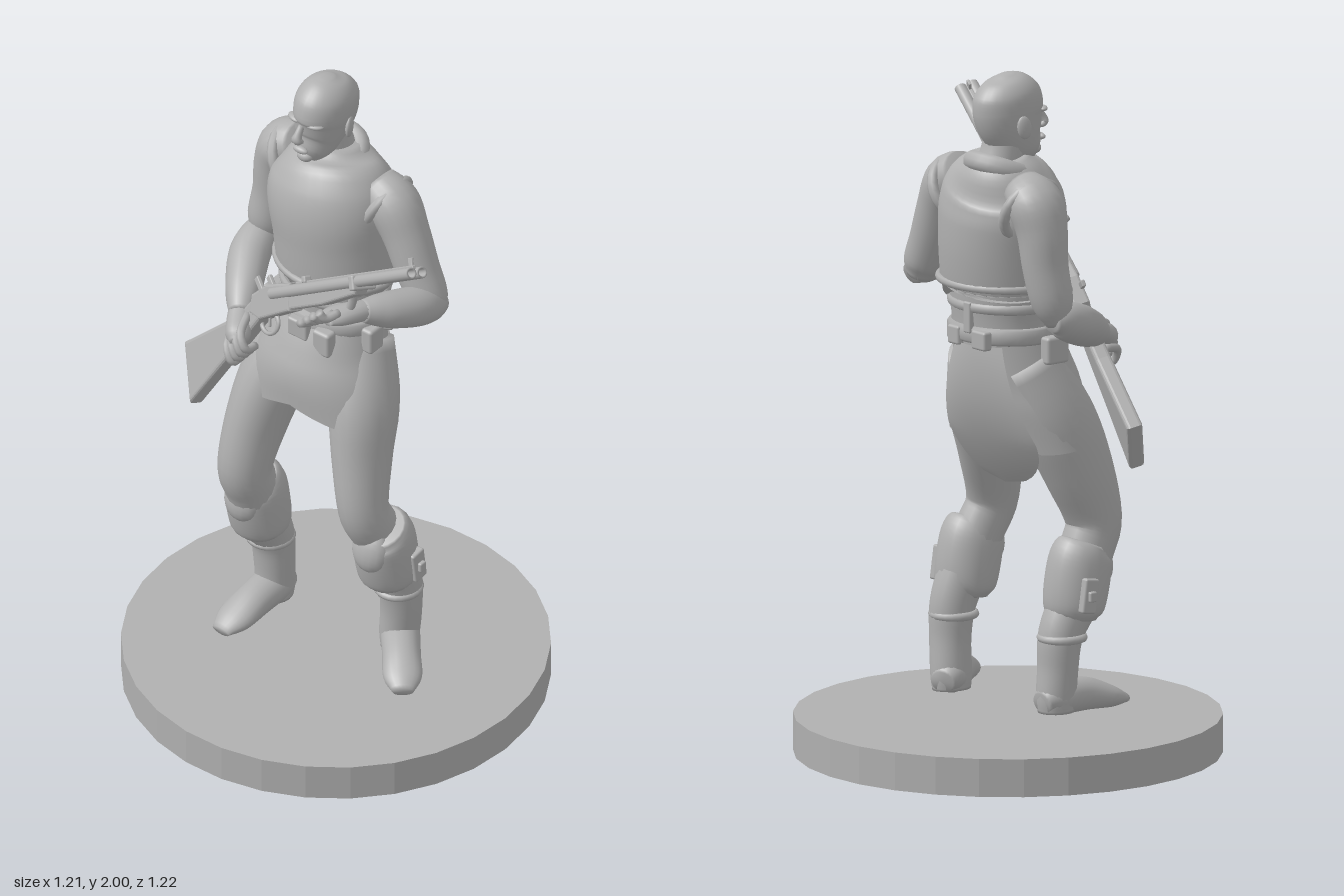
import * as THREE from 'three';
import { RoundedBoxGeometry } from 'three/addons/geometries/RoundedBoxGeometry.js';

const grey = new THREE.MeshStandardMaterial({ color: 0xb0b0b0, side: THREE.DoubleSide });
grey.name = 'grey';

const X = new THREE.Vector3(1, 0, 0), Y = new THREE.Vector3(0, 1, 0);

// Smooth loft through rings [x, y, z, radius along ref, other radius]
function loft(rings, { ref = X, sides = 20, steps = 5, caps = true } = {}) {
  const path = new THREE.CatmullRomCurve3(rings.map(r => new THREE.Vector3(r[0], r[1], r[2])), false, 'catmullrom');
  const size = new THREE.CatmullRomCurve3(rings.map(r => new THREE.Vector3(r[3], r[4] ?? r[3], 0)), false, 'catmullrom');
  const n = (rings.length - 1) * steps, pos = [], idx = [];
  for (let i = 0; i <= n; i++) {
    const c = path.getPoint(i / n), s = size.getPoint(i / n), t = path.getTangent(i / n);
    const u = ref.clone().addScaledVector(t, -ref.dot(t)).normalize();
    const v = t.clone().cross(u);
    for (let j = 0; j < sides; j++) {
      const a = j / sides * Math.PI * 2;
      pos.push(...c.clone().addScaledVector(u, Math.cos(a) * s.x).addScaledVector(v, Math.sin(a) * s.y).toArray());
      if (i === n) continue;
      const p = i * sides + j, q = i * sides + (j + 1) % sides;
      idx.push(p, q, p + sides, q, q + sides, p + sides);
    }
  }
  if (caps) {
    const k = pos.length / 3;
    pos.push(...path.getPoint(0).toArray(), ...path.getPoint(1).toArray());
    for (let j = 0; j < sides; j++) {
      const m = (j + 1) % sides;
      idx.push(k, m, j, k + 1, n * sides + j, n * sides + m);
    }
  }
  const g = new THREE.BufferGeometry();
  g.setAttribute('position', new THREE.Float32BufferAttribute(pos, 3));
  g.setIndex(idx);
  g.computeVertexNormals();
  return g;
}

// Move every vertex by a rule
function warp(g, rule) {
  const p = g.attributes.position, v = new THREE.Vector3();
  for (let i = 0; i < p.count; i++) {
    rule(v.fromBufferAttribute(p, i));
    p.setXYZ(i, v.x, v.y, v.z);
  }
  g.computeVertexNormals();
  return g;
}

function add(parent, name, geo, at = [0, 0, 0], rot = [0, 0, 0]) {
  const m = new THREE.Mesh(geo, grey);
  m.name = name;
  m.position.set(...at);
  m.rotation.set(...rot);
  parent.add(m);
  return m;
}

const box = (w, h, d) => new RoundedBoxGeometry(w, h, d, 2, Math.min(w, h, d) * 0.25);
const ball = (rx, ry, rz) => new THREE.SphereGeometry(1, 16, 12).scale(rx, ry, rz);

function buildHead(g) {
  add(g, 'head', loft([[.025, 1.75, -.112, .03, .028], [.04, 1.775, -.112, .062, .05], [.065, 1.81, -.112, .085, .065],
    [.085, 1.86, -.11, .106, .076], [.092, 1.9, -.108, .113, .081], [.094, 1.945, -.108, .104, .077],
    [.097, 1.98, -.108, .07, .054], [.1, 1.999, -.108, .02, .016]], { sides: 28 }));
  add(g, 'nose', loft([[-.012, 1.885, -.114, .01, .009], [-.027, 1.86, -.115, .013, .012], [-.033, 1.843, -.116, .013, .017],
    [-.018, 1.833, -.116, .008, .014]], { sides: 10 }));
  add(g, 'lips', ball(.012, .011, .026), [-.018, 1.803, -.114]);
  add(g, 'chin', ball(.02, .018, .026), [.002, 1.772, -.113]);
  for (const s of [-1, 1]) {
    add(g, 'brow', ball(.016, .009, .027), [.001, 1.892, -.113 + s * .036], [0, s * .4, 0]);
    add(g, 'ear', ball(.022, .034, .01), [.1, 1.855, -.11 + s * .08], [0, s * .3, -.15]);
  }
  add(g, 'neck', loft([[.15, 1.62, -.1, .085], [.13, 1.7, -.1, .07], [.11, 1.77, -.105, .064], [.1, 1.83, -.108, .06]]));
}

function buildTorso(g) {
  add(g, 'abdomen', loft([[.06, 1.18, -.055, .135, .16], [.068, 1.27, -.055, .132, .155], [.07, 1.34, -.055, .138, .162],
    [.075, 1.44, -.06, .14, .165]], { sides: 28 }));
  add(g, 'vest', loft([[.08, 1.385, -.06, .15, .17], [.08, 1.392, -.06, .161, .18], [.085, 1.5, -.068, .17, .188],
    [.086, 1.6, -.078, .17, .198], [.098, 1.67, -.088, .153, .185], [.115, 1.725, -.1, .115, .135],
    [.122, 1.765, -.103, .075, .078]], { sides: 32 }));
  add(g, 'collar', new THREE.TorusGeometry(.088, .024, 10, 28).scale(1.05, 1, 1.2), [.108, 1.722, -.103], [Math.PI / 2, .38, 0]);
  const band = (name, y, r, h, x = .068) => add(g, name,
    new THREE.TorusGeometry(1, .06, 8, 36).rotateX(Math.PI / 2).scale(r, h / .12, r * 1.17), [x, y, -.055]);
  band('vestHem', 1.395, .16, .025, .079);
  band('waistStrap', 1.33, .138, .03);
  band('belt', 1.25, .14, .05, .063);
  // Belt buckles and pouches
  for (const [x, y, z, w, h, d, r] of [[.205, 1.3, -.07, .02, .09, .03, 0], [.2, 1.24, -.12, .03, .055, .06, 0],
    [.2, 1.24, -.01, .03, .055, .05, 0], [.02, 1.22, .115, .06, .08, .04, 0], [.11, 1.23, .1, .05, .06, .04, .5],
    [-.08, 1.22, .02, .04, .08, .06, 0], [-.09, 1.24, -.06, .03, .06, .07, 0], [.03, 1.21, -.24, .08, .08, .04, 0]])
    add(g, 'pouch', box(w, h, d), [x, y, z], [0, r, 0]);
  // Skirt with a hem that hangs lower at the sides
  const skirt = loft([[.065, 1.25, -.055, .135, .157], [.035, 1.14, -.057, .16, .185], [.015, 1.05, -.055, .166, .222],
    [.0, .93, -.05, .15, .25]], { sides: 40, caps: false });
  add(g, 'skirt', warp(skirt, v => {
    const side = Math.min(1, Math.abs(v.z + .055) / .2);
    if (v.y < 1.15) v.y = 1.15 - (1.15 - v.y) * (.72 + .28 * side);
  }));
  // Long rounded flap behind
  add(g, 'backFlap', warp(new THREE.PlaneGeometry(2, 1, 16, 24), p => {
    const u = p.x, v = .5 - p.y;
    const round = v > .65 ? Math.sqrt(Math.max(0, 1 - ((v - .65) / .35) ** 2)) : 1;
    const w = (.1 + .09 * Math.min(v, .65) / .65) * round;
    p.set(.207 + .015 * Math.sin(Math.PI * v) - .145 * v * v - .045 * (u * round) ** 2, 1.22 - .42 * v, -.065 - u * w);
  }));
}

function buildLeg(g, side, leg, guard, foot) {
  const out = side === 'left' ? 1 : -1;
  add(g, side + 'Leg', loft(leg));
  const [x, y, z] = guard;
  add(g, side + 'KneeGuard', loft([[x - .03, y + .11, z, .07], [x - .015, y + .075, z, .092, .086], [x, y, z, .096, .09],
    [x + .012, y - .07, z, .088, .086], [x + .015, y - .1, z, .068, .066]]));
  add(g, side + 'KneeCap', ball(.04, .07, .06), [x - .07, y + .05, z], [0, 0, -.2]);
  add(g, side + 'GuardStrap', box(.05, .1, .025), [x + .03, y - .02, z + out * .088], [0, 0, .15]);
  add(g, side + 'Buckle', box(.025, .03, .02), [x + .03, y - .02, z + out * .102]);
  add(g, side + 'BootCuff', new THREE.TorusGeometry(.061, .012, 8, 24).rotateX(Math.PI / 2), [x + .055, y - .15, z]);
  add(g, side + 'Foot', warp(loft(foot, { ref: Y }), v => { v.y = Math.max(v.y, .148); }));
}

function buildArm(g, side, upper, fore, hand, fingers) {
  add(g, side + 'UpperArm', loft(upper));
  add(g, side + 'Forearm', loft(fore, { ref: Y }));
  add(g, side + 'Hand', loft(hand, { ref: Y, sides: 14 }));
  for (const f of fingers) add(g, side + 'Finger', loft(f.map(p => [...p, .0125]), { ref: new THREE.Vector3(.3, .5, .81), sides: 8, steps: 4 }));
}

// Long gun in its own frame: +z to the muzzle, +y up
function buildGun(g) {
  const gun = new THREE.Group();
  gun.name = 'gun';
  const d = new THREE.Vector3(-.18, .575, .8).normalize();
  const u = new THREE.Vector3(.42, .78, -.46);
  u.addScaledVector(d, -u.dot(d)).normalize();
  gun.matrixAutoUpdate = true;
  gun.quaternion.setFromRotationMatrix(new THREE.Matrix4().makeBasis(u.clone().cross(d), u, d));
  gun.position.set(-.272, 1.805, .505);
  const slab = (name, pts, w, bevel) => {
    const shape = new THREE.Shape(pts.map(p => new THREE.Vector2(...p)));
    const geo = new THREE.ExtrudeGeometry(shape, { depth: w, bevelSize: bevel, bevelThickness: bevel, bevelSegments: 3 });
    add(gun, name, geo.translate(0, 0, -w / 2).rotateY(-Math.PI / 2));
  };
  for (const s of [-1, 1]) {
    const tube = [[.011, -.76], [.018, -.76], [.017, 0], [.011, 0], [.011, -.06], [0, -.06]].map(p => new THREE.Vector2(...p));
    add(gun, 'barrel', new THREE.LatheGeometry(tube, 16).rotateX(Math.PI / 2), [s * .018, 0, 0]);
    add(gun, 'hammer', box(.012, .05, .02), [s * .02, .03, -.82], [-.5, 0, 0]);
  }
  add(gun, 'rib', box(.012, .012, .74), [0, .017, -.38]);
  add(gun, 'frontSight', box(.008, .03, .02), [0, .03, -.025]);
  add(gun, 'rearSight', box(.025, .02, .02), [0, .027, -.6]);
  add(gun, 'barrelBand', box(.08, .045, .025), [0, -.004, -.3]);
  slab('foreGrip', [[-.3, -.012], [-.32, -.03], [-.5, -.045], [-.68, -.045], [-.68, -.005]], .03, .008);
  slab('receiver', [[-.66, .015], [-.68, -.05], [-.84, -.06], [-.88, -.04], [-.86, .0], [-.78, .02]], .036, .008);
  slab('stock', [[-.84, -.002], [-.93, -.045], [-1.02, -.068], [-1.25, -.108], [-1.257, -.262], [-1.1, -.182],
    [-.98, -.125], [-.9, -.085], [-.84, -.055]], .026, .011);
  add(gun, 'triggerGuard', new THREE.TorusGeometry(.032, .006, 8, 20).rotateY(Math.PI / 2).scale(1, 1, 1.4), [0, -.08, -.82]);
  add(gun, 'trigger', box(.008, .035, .008), [0, -.075, -.82], [.3, 0, 0]);
  g.add(gun);
}

export function createModel() {
  const g = new THREE.Group();
  g.name = 'figurine';
  // Faceted round base
  const base = new THREE.CylinderGeometry(.61, .61, .11, 30).toNonIndexed();
  base.computeVertexNormals();
  add(g, 'base', base, [0, .055, 0]);

  buildHead(g);
  buildTorso(g);

  buildLeg(g, 'left', [[.06, 1.16, .04, .1, .095], [0, 1, .1, .115, .095], [-.045, .85, .13, .1, .08], [-.08, .7, .162, .08, .068],
    [-.045, .61, .175, .076, .068], [0, .5, .19, .075, .07], [.035, .4, .2, .068, .065], [.045, .3, .2, .06, .06],
    [.05, .2, .19, .062, .056], [.05, .155, .188, .058, .05]], [-.02, .52, .197],
  [[.105, .185, .165, .03, .035], [.06, .195, .185, .052, .055], [-.03, .19, .26, .05, .055], [-.095, .175, .315, .034, .055],
    [-.135, .162, .348, .016, .03]]);
  buildLeg(g, 'right', [[.06, 1.16, -.14, .1, .1], [-.01, 1, -.195, .12, .1], [-.07, .85, -.222, .11, .087], [-.12, .7, -.232, .085, .077],
    [-.095, .61, -.233, .08, .075], [-.05, .48, -.235, .075, .07], [0, .38, -.232, .065, .065], [.01, .28, -.23, .058, .06],
    [.015, .2, -.23, .06, .056], [.015, .155, -.23, .055, .05]], [-.055, .52, -.237],
  [[.07, .185, -.23, .03, .035], [.025, .195, -.23, .052, .055], [-.08, .192, -.228, .05, .055], [-.17, .175, -.232, .034, .055],
    [-.23, .162, -.235, .014, .03]]);

  // Left arm: open hand steadying the barrels
  buildArm(g, 'left',
    [[.11, 1.69, .06, .06], [.105, 1.65, .125, .078, .075], [.1, 1.57, .175, .07, .068], [.095, 1.47, .22, .065, .063],
      [.095, 1.39, .258, .058], [.1, 1.345, .272, .035]],
    [[.13, 1.355, .275, .03], [.09, 1.372, .272, .05], [.03, 1.395, .265, .058], [-.05, 1.42, .24, .054, .055],
      [-.1, 1.437, .22, .045], [-.14, 1.45, .203, .032]],
    [[-.11, 1.445, .215, .03], [-.16, 1.455, .195, .03, .035], [-.21, 1.46, .17, .025, .04], [-.25, 1.465, .155, .014, .034]],
    [...[0, 1, 2, 3].map(i => [[-.23, 1.455 + i * .012, .13 + i * .02], [-.275, 1.455 + i * .012, .125 + i * .018],
      [-.325 + i * .012, 1.48 + i * .012, .125 + i * .013]]),
    [[-.18, 1.47, .19], [-.18, 1.53, .205], [-.195, 1.59, .2]]]);
  // Right arm: hand closed on the grip
  buildArm(g, 'right',
    [[.13, 1.69, -.22, .06], [.14, 1.655, -.285, .085, .075], [.14, 1.58, -.315, .075, .07], [.138, 1.48, -.327, .067, .064],
      [.125, 1.38, -.342, .06], [.11, 1.315, -.35, .035]],
    [[.14, 1.325, -.355, .03], [.1, 1.325, -.352, .052], [.03, 1.3, -.335, .06], [-.05, 1.27, -.29, .055], [-.1, 1.25, -.26, .046],
      [-.14, 1.235, -.235, .033]],
    [[-.11, 1.247, -.255, .03], [-.15, 1.23, -.23, .032, .036], [-.195, 1.21, -.2, .036, .036], [-.22, 1.2, -.185, .02]],
    [0, 1, 2, 3].map(i => [[-.15, 1.255 - i * .022, -.2 - i * .016], [-.215, 1.24 - i * .022, -.175 - i * .016],
      [-.225, 1.2 - i * .022, -.15 - i * .016], [-.18, 1.185 - i * .02, -.15 - i * .016]]));
  // Rims of the vest around the shoulders
  add(g, 'shoulderRim', new THREE.TorusGeometry(.085, .016, 8, 24), [.11, 1.635, .095], [.45, 0, 0]);
  add(g, 'shoulderRim', new THREE.TorusGeometry(.09, .016, 8, 24), [.135, 1.635, -.255], [-.45, 0, 0]);

  buildGun(g);
  return g;
}
